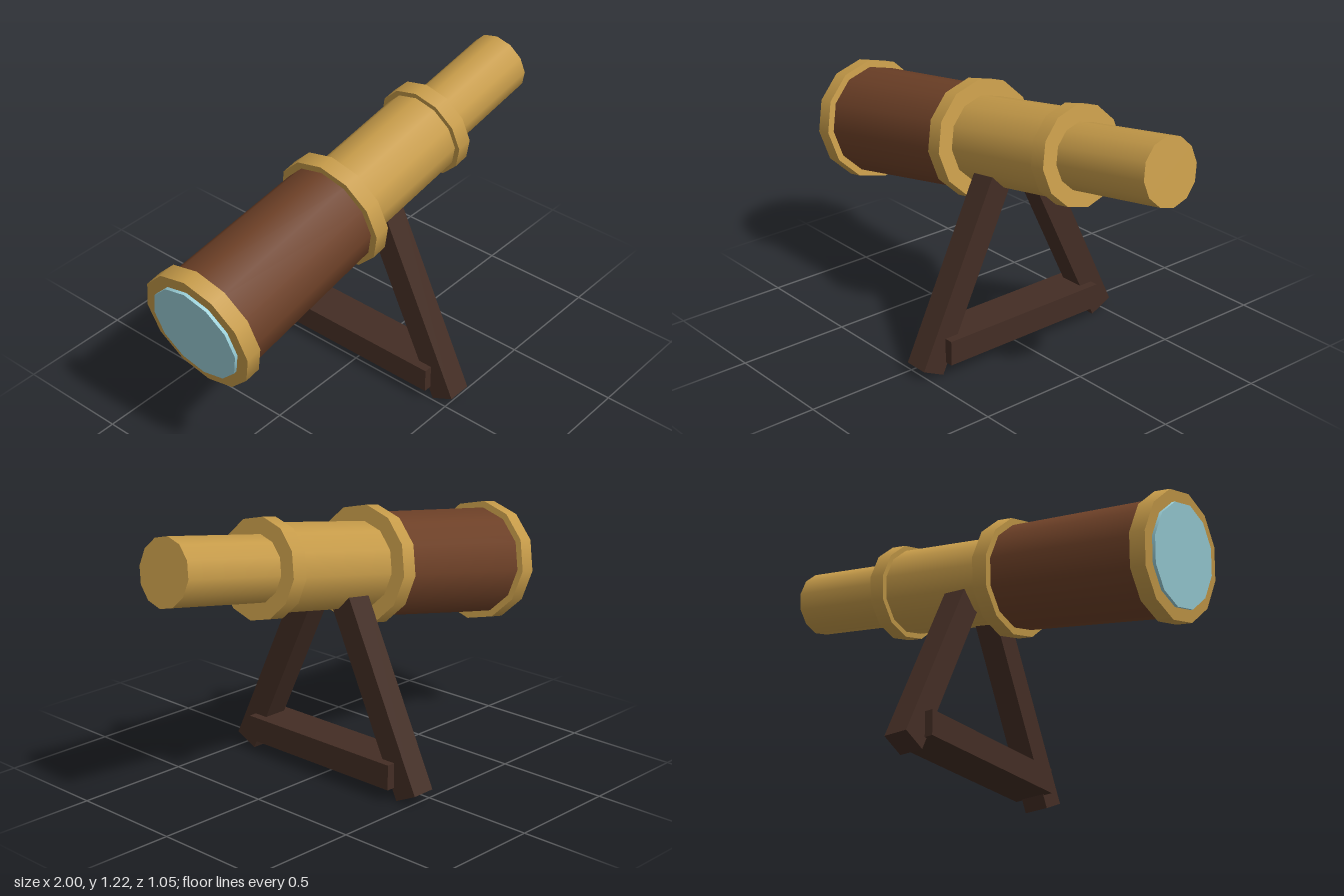
import * as THREE from 'three';

const material = (name, color) => {
  const m = new THREE.MeshStandardMaterial({ color });
  m.name = name;
  return m;
};

export function createModel() {
  const brass = material('brass', 0xc69b49);
  const leather = material('leather', 0x6d4027);
  const wood = material('dark wood', 0x432d24);
  const glass = material('glass', 0x9bd0d9);

  const model = new THREE.Group();
  model.name = 'telescope';

  // Tilted barrel: its parts run along the local x axis
  const barrel = new THREE.Group();
  barrel.name = 'barrel';
  barrel.position.y = 0.9015;
  barrel.rotation.z = 0.18;
  model.add(barrel);

  const section = (name, mat, from, to, rFrom, rTo = rFrom) => {
    const geometry = new THREE.CylinderGeometry(rTo, rFrom, to - from, 12);
    geometry.rotateZ(-Math.PI / 2);
    const mesh = new THREE.Mesh(geometry, mat);
    mesh.name = name;
    mesh.position.x = (from + to) / 2;
    barrel.add(mesh);
  };
  section('lens', glass, -0.977, -0.94, 0.217);
  section('frontRing', brass, -0.963, -0.891, 0.27);
  section('mainTube', leather, -0.92, -0.14, 0.241, 0.225);
  section('middleRing', brass, -0.176, -0.104, 0.256);
  section('middleTube', brass, -0.14, 0.46, 0.187);
  section('rearRing', brass, 0.426, 0.498, 0.21);
  section('eyeTube', brass, 0.46, 0.986, 0.14);

  // Stand: two splayed legs meeting the barrel, joined by a crossbar
  const stand = new THREE.Group();
  stand.name = 'stand';
  stand.position.x = 0.065;
  model.add(stand);

  const beam = (name, w, h, d, y, z, tilt = 0) => {
    const mesh = new THREE.Mesh(new THREE.BoxGeometry(w, h, d), wood);
    mesh.name = name;
    mesh.position.set(0, y, z);
    mesh.rotation.x = tilt;
    stand.add(mesh);
  };
  for (const side of [1, -1]) {
    beam(side > 0 ? 'frontLeg' : 'backLeg', 0.11, 0.9, 0.112, 0.43, 0.28 * side, -0.448 * side);
  }
  beam('crossbar', 0.185, 0.11, 0.82, 0.11, 0);

  return model;
}
